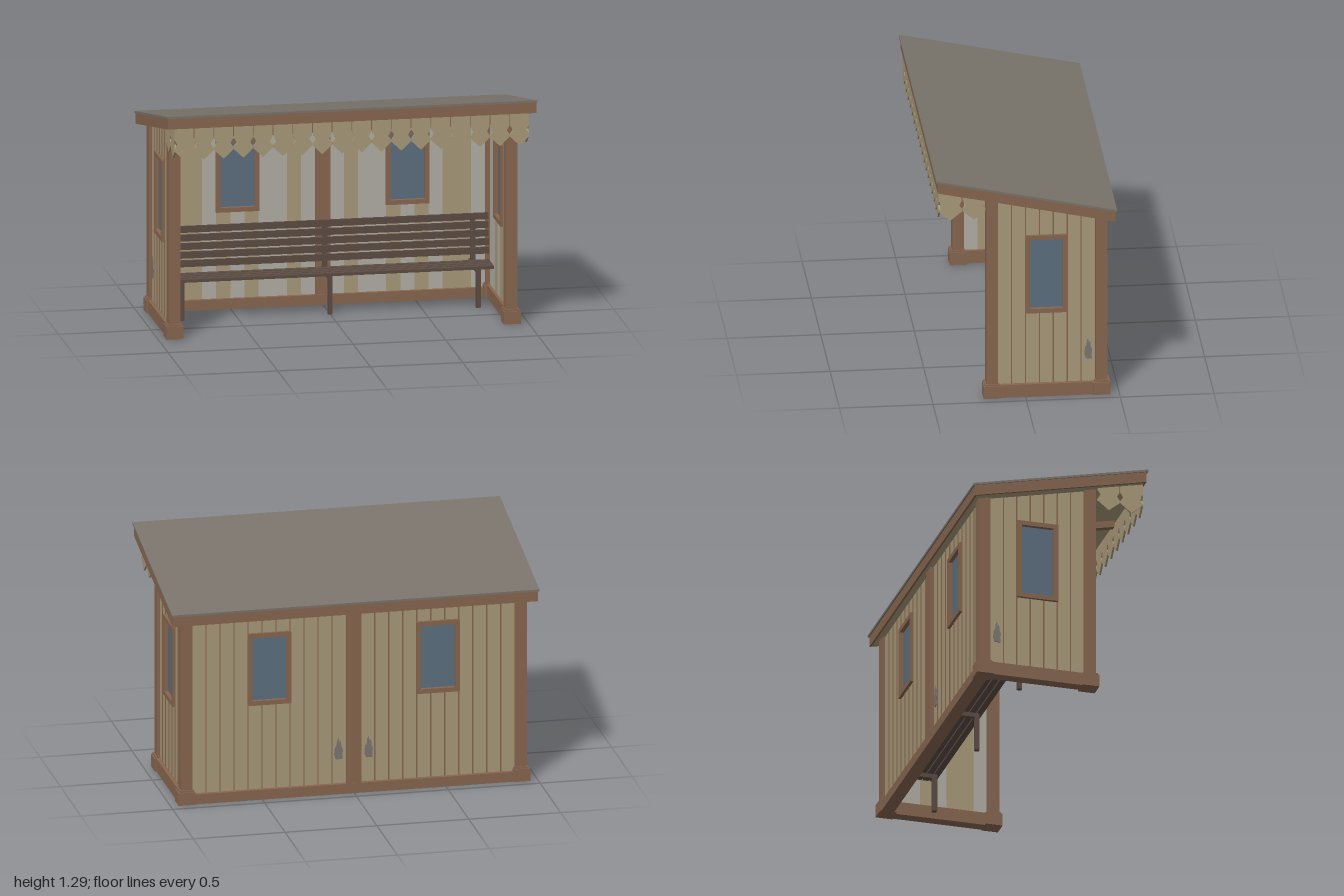
import * as THREE from 'three';

const SLOPE = 0.2124;
const under = (z) => 1.114 + SLOPE * z; // underside of the roof at depth z

function material(name, color, side = THREE.FrontSide) {
  const m = new THREE.MeshStandardMaterial({ color, side });
  m.name = name;
  return m;
}

export function createModel() {
  const trim = material('brown trim', 0x87664f);
  const tan = material('tan boards', 0xa89a79);
  const bare = material('faded inner boards', 0xb2ada5);
  const roofing = material('grey roofing', 0x7a746b);
  const glass = material('blue glass', 0x5c6f7e);
  const wood = material('dark bench wood', 0x5c4c44);
  const worn = material('worn paint', 0x7b7670);

  const model = new THREE.Group();
  model.name = 'shelter';

  const add = (parent, name, geo, mat) => {
    const mesh = new THREE.Mesh(geo, mat);
    mesh.name = name;
    parent.add(mesh);
    return mesh;
  };
  // Box given by its limits on each axis; slope shears it along the roof pitch
  const box = (parent, name, mat, [x0, x1], [y0, y1], [z0, z1], slope = 0) => {
    const geo = new THREE.BoxGeometry(x1 - x0, y1 - y0, z1 - z0);
    geo.translate((x0 + x1) / 2, (y0 + y1) / 2, (z0 + z1) / 2);
    if (slope) {
      const p = geo.attributes.position;
      for (let i = 0; i < p.count; i++) p.setY(i, p.getY(i) + slope * p.getZ(i));
      geo.computeVertexNormals();
    }
    return add(parent, name, geo, mat);
  };
  // Flat outline extruded from w0 to w1
  const plate = (parent, name, mat, pts, w0, w1) => {
    const shape = new THREE.Shape(pts.map(([x, y]) => new THREE.Vector2(x, y)));
    const geo = new THREE.ExtrudeGeometry(shape, { depth: w1 - w0, bevelEnabled: false });
    geo.translate(0, 0, w0);
    return add(parent, name, geo, mat);
  };

  // Window: four frame bars around a recessed pane, local z pointing outwards
  const addWindow = (wall, cx, w, y0, y1, d0, d1) => {
    const g = new THREE.Group();
    g.name = 'window';
    const a = cx - w / 2, b = cx + w / 2, t = 0.025;
    box(g, 'frameSide', trim, [a, a + t], [y0, y1], [d0, d1]);
    box(g, 'frameSide', trim, [b - t, b], [y0, y1], [d0, d1]);
    box(g, 'frameBottom', trim, [a + t, b - t], [y0, y0 + t], [d0, d1]);
    box(g, 'frameTop', trim, [a + t, b - t], [y1 - t, y1], [d0, d1]);
    const m = (d0 + d1) / 2;
    box(g, 'pane', glass, [a + t, b - t], [y0 + t, y1 - t], [m - 0.004, m + 0.004]);
    wall.add(g);
  };

  // Worn patch with a ragged outline
  const addPatch = (wall, u, y, w) => {
    const outline = [[-0.3, 0], [0.5, 0], [0.45, 0.25], [0.55, 0.4], [0.35, 0.6], [0.3, 0.85],
      [0.1, 0.78], [0, 1], [-0.15, 0.85], [-0.2, 0.65], [-0.4, 0.55], [-0.5, 0.25]];
    plate(wall, 'wornPatch', worn, outline.map(([a, b]) => [u + a * w, y + b * 0.12]), w0 + 0.001, w0 + 0.006);
  };

  // Boards from u0 with a fixed pitch; boards across the window are cut in two
  const w0 = 0.01;
  const addBoards = (wall, edges, tanSet, top, win) => {
    for (let i = 0; i + 1 < edges.length; i++) {
      const [a, b] = [edges[i], edges[i + 1]].sort((p, q) => p - q);
      const mid = (a + b) / 2;
      const cut = Math.abs(mid - win.cx) < win.w / 2;
      const spans = cut
        ? [[0.03, () => win.y0 + 0.012], [win.y1 - 0.012, top]]
        : [[0.03, top]];
      for (const [y, f] of spans) {
        const pts = [[a, y], [b, y], [b, f(b)], [a, f(a)]];
        plate(wall, 'outerBoard', tan, pts, -0.004, w0);
        plate(wall, 'innerBoard', tanSet.includes(i) ? tan : bare, pts, -0.014, -0.004);
        // Narrow strip covering the joint
        if (i > 0) {
          const e = edges[i];
          plate(wall, 'jointStrip', trim,
            [[e - 0.003, y], [e + 0.003, y], [e + 0.003, f(e)], [e - 0.003, f(e)]], w0 - 0.002, w0 + 0.004);
        }
      }
    }
  };

  // Side walls, posts, plinths and sills
  for (const s of [1, -1]) {
    const wall = new THREE.Group();
    wall.name = s > 0 ? 'leftWall' : 'rightWall';
    wall.rotation.y = s * Math.PI / 2;
    wall.position.x = s * 0.915;
    const edges = Array.from({ length: 8 }, (_, i) => -s * (0.148 - i * 0.0743));
    const win = { cx: s * 0.111, w: 0.222, y0: 0.478, y1: 0.925 };
    addBoards(wall, edges, [1, 2, 4], (u) => under(-s * u) + 0.01, win);
    addWindow(wall, win.cx, win.w + 0.004, win.y0, win.y1, -0.026, 0.026);
    addPatch(wall, s * 0.335, 0.2, 0.04);
    model.add(wall);

    const span = (a, b) => (s > 0 ? [a, b] : [-b, -a]);
    for (const [z0, z1, n] of [[0.147, 0.21, 'front'], [-0.438, -0.375, 'back']]) {
      box(model, n + 'Post', trim, span(0.878, 0.942), [0, under(0) + 0.02], [z0, z1], 0)
        .scale.y = (under(z0) + 0.02) / (under(0) + 0.02);
      box(model, n + 'Plinth', trim, span(0.866, 0.957), [0, 0.07], [z0 - 0.014, z1 + 0.015]);
      box(model, n + 'PlinthCap', trim, span(0.872, 0.95), [0.07, 0.08], [z0 - 0.007, z1 + 0.008]);
    }
    box(model, 'sideSill', trim, span(0.885, 0.948), [0, 0.072], [-0.4, 0.17]);
  }

  // Back wall, two mirrored bays with a window each
  const back = new THREE.Group();
  back.name = 'backWall';
  back.rotation.y = Math.PI;
  back.position.z = -0.412;
  for (const s of [1, -1]) {
    const edges = Array.from({ length: 12 }, (_, i) => s * (0.04 + i * 0.0762));
    const win = { cx: s * 0.459, w: 0.23, y0: 0.527, y1: 0.93 };
    addBoards(back, edges, [1, 4, 6, 8, 9], () => 1.04, win);
    addWindow(back, win.cx, 0.236, win.y0, win.y1, -0.026, 0.026);
    addPatch(back, s * 0.082, 0.19, 0.045);
  }
  model.add(back);
  box(model, 'centrePost', trim, [-0.04, 0.04], [0, 1.04], [-0.443, -0.38]);
  box(model, 'backSill', trim, [-0.88, 0.88], [0, 0.055], [-0.445, -0.375]);
  box(model, 'backTopRail', trim, [-0.88, 0.88], [0.97, 1.04], [-0.412, -0.378]);
  box(model, 'frontHeader', trim, [-0.88, 0.88], [1.092, 1.165], [0.152, 0.205]);

  // Roof sheet, ceiling and the boards round its edge, all on the same pitch
  const roof = new THREE.Group();
  roof.name = 'roof';
  box(roof, 'roofSheet', roofing, [-1, 1], [1.172, 1.184], [-0.483, 0.483], SLOPE);
  box(roof, 'ceiling', tan, [-0.985, 0.985], [1.116, 1.172], [-0.465, 0.465], SLOPE);
  for (const s of [1, -1]) {
    const lim = (a, b) => (s > 0 ? [a, b] : [-b, -a]);
    box(roof, 'sideFascia', trim, lim(0.983, 0.995), [1.114, 1.172], [-0.475, 0.475], SLOPE);
    box(roof, s > 0 ? 'frontFascia' : 'backFascia', trim, [-0.983, 0.983], [1.114, 1.172], lim(0.463, 0.475), SLOPE);
  }
  for (const x of [-0.475, 0, 0.475]) {
    box(roof, 'rafter', trim, [x - 0.017, x + 0.017], [1.078, 1.118], [-0.385, 0.445], SLOPE);
  }
  model.add(roof);

  // Valance boards: pointed foot and notched sides that pair up into diamonds
  const valanceBoard = (parent, u, pitch, top) => {
    const h = pitch / 2, g = h - 0.003;
    const half = [[h - 0.001, 1.09], [h - 0.001, 1.103], [h - 0.017, 1.125], [g, 1.15], [g, 0]];
    const right = half.map(([a, y]) => [u + a, y || top(u + a)]);
    const left = half.map(([a, y]) => [u - a, y || top(u - a)]).reverse();
    plate(parent, 'valanceBoard', tan, [[u, 1.04], ...right, ...left], 0, 0.01);
  };
  const valance = new THREE.Group();
  valance.name = 'frontValance';
  valance.position.z = 0.457;
  for (let i = 0; i < 18; i++) valanceBoard(valance, (i - 8.5) * 0.1066, 0.1066, () => 1.216);
  model.add(valance);
  for (const s of [1, -1]) {
    const side = new THREE.Group();
    side.name = 'sideValance';
    side.rotation.y = s * Math.PI / 2;
    side.position.x = s * 0.947;
    for (const z of [0.402, 0.277]) valanceBoard(side, -s * z, 0.125, (u) => under(-s * u) + 0.005);
    model.add(side);
  }

  // Bench: seat slats, reclined back slats, three supports
  const bench = new THREE.Group();
  bench.name = 'bench';
  for (let i = 0; i < 4; i++) {
    const z = -0.142 - i * 0.04;
    box(bench, 'seatSlat', wood, [-0.88, 0.88], [0.214, 0.23], [z - 0.033, z]);
  }
  for (let i = 0; i < 5; i++) {
    const y = 0.263 + i * 0.0455, z = -0.285 - i * 0.006;
    box(bench, 'backSlat', wood, [-0.88, 0.88], [y, y + 0.036], [z - 0.012, z]);
  }
  for (const x of [-0.8, 0, 0.8]) {
    const lim = [x - 0.012, x + 0.012];
    box(bench, 'leg', wood, lim, [0, 0.214], [-0.185, -0.16]);
    box(bench, 'seatBracket', wood, lim, [0.19, 0.214], [-0.395, -0.16]);
    box(bench, 'backSupport', wood, lim, [0.19, 0.475], [-0.34, -0.318]);
  }
  model.add(bench);

  return model;
}
